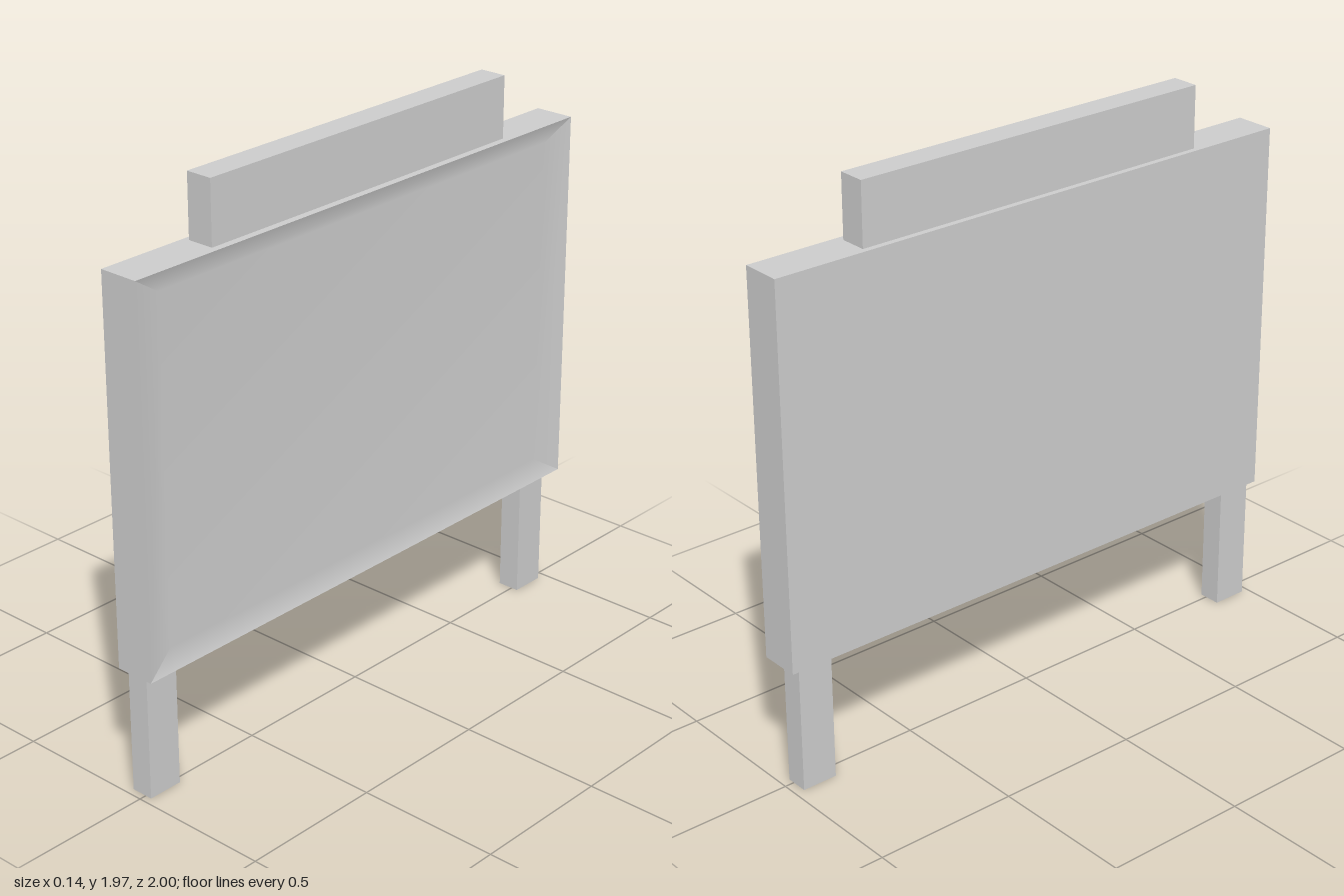
import * as THREE from 'three';

const material = new THREE.MeshStandardMaterial({ color: 0xcccccc });

// Box given by its minimum and maximum corners
function block(name, [x0, y0, z0], [x1, y1, z1]) {
  const mesh = new THREE.Mesh(new THREE.BoxGeometry(x1 - x0, y1 - y0, z1 - z0), material);
  mesh.position.set((x0 + x1) / 2, (y0 + y1) / 2, (z0 + z1) / 2);
  mesh.name = name;
  return mesh;
}

// Board whose +x face slopes in from a mitred rim to a shallow recess
function recessedPanel(width, height, length, rimY, rimZ, depth) {
  const geo = new THREE.BoxGeometry(width, height, length, 1, 3, 3);
  const p = geo.attributes.position;
  const w = width / 2, h = height / 2, l = length / 2;
  for (let i = 0; i < p.count; i++) {
    const x = p.getX(i), y = p.getY(i), z = p.getZ(i);
    const sy = Math.sign(y), sz = Math.sign(z);
    const inner = Math.abs(y) < h * 0.9 && Math.abs(z) < l * 0.9;
    if (inner) p.setXYZ(i, x > 0 ? w - depth : -w, sy * (h - rimY), sz * (l - rimZ));
    else p.setXYZ(i, x, sy * h, sz * l); // edge points join the corners to form the mitre
  }
  geo.computeVertexNormals();
  return geo;
}

export function createModel() {
  const group = new THREE.Group();

  // Main board
  const panel = new THREE.Mesh(recessedPanel(0.14, 1.31, 2, 0.07, 0.11, 0.025), material);
  panel.name = 'panel';
  panel.position.y = 1.098;
  group.add(panel);

  // Narrow board on top
  group.add(block('topBoard', [-0.05, 1.75, -0.67], [0.045, 1.967, 0.67]));

  // Legs
  group.add(block('frontLeg', [-0.055, 0, 0.85], [0.024, 0.445, 0.975]));
  group.add(block('backLeg', [-0.055, 0, -0.967], [0.024, 0.445, -0.843]));

  return group;
}
